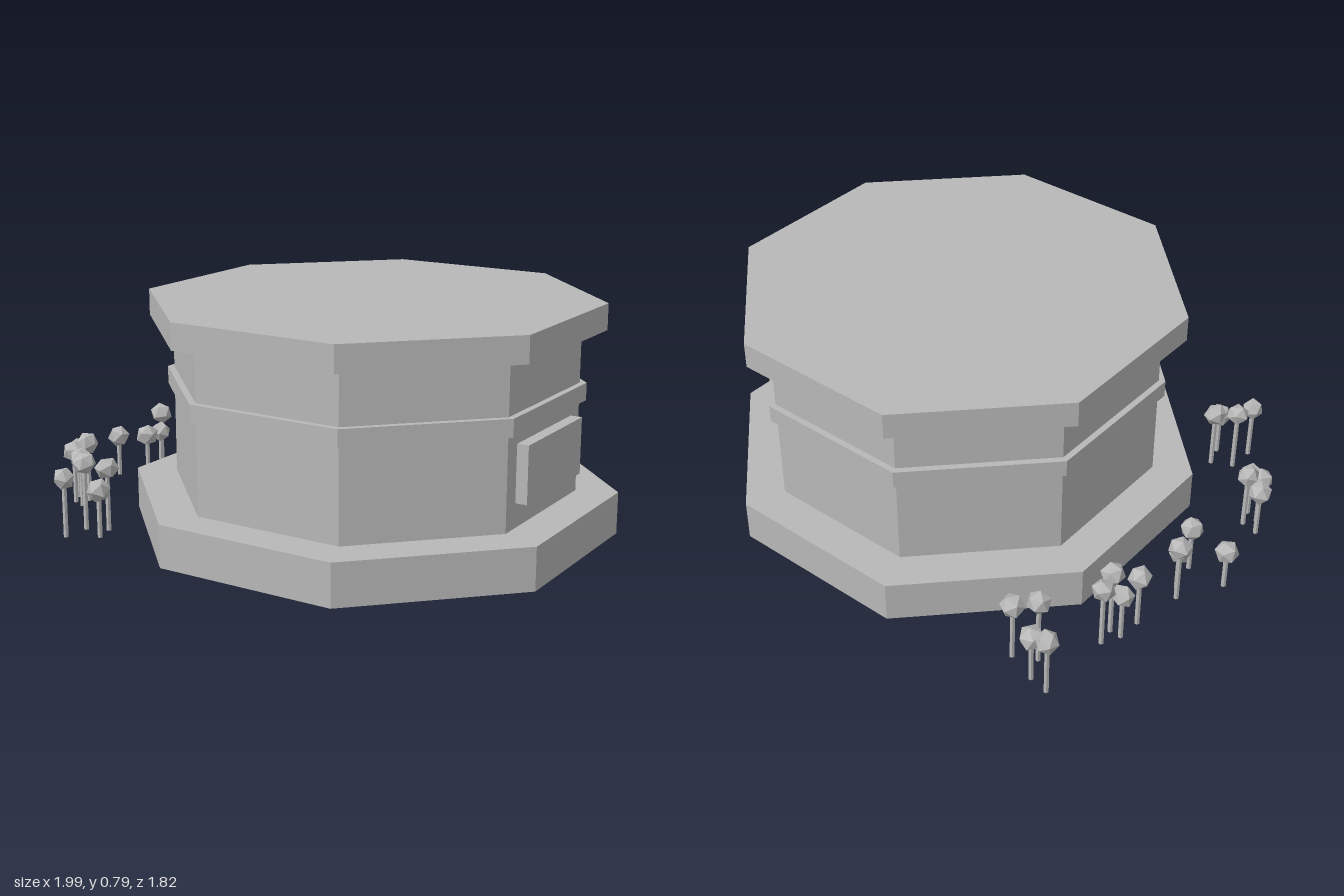
import * as THREE from 'three';

const grey = new THREE.MeshStandardMaterial({ color: 0xb8b8b8 });
grey.name = 'plain grey';

// Facet a geometry so every face is flat
function faceted(geometry) {
  const g = geometry.index ? geometry.toNonIndexed() : geometry;
  g.computeVertexNormals();
  return g;
}

function addMesh(parent, name, geometry) {
  const mesh = new THREE.Mesh(faceted(geometry), grey);
  mesh.name = name;
  parent.add(mesh);
  return mesh;
}

function seeded(seed) {
  return () => (seed = (seed * 16807) % 2147483647) / 2147483647;
}

// Tree clusters: [x, z, height of crown centre]
const clusters = [
  [[-0.955, -0.37, 0.215], [-0.885, -0.385, 0.18], [-0.773, -0.39, 0.22], [-0.826, -0.326, 0.25]],
  [[-0.858, -0.112, 0.23], [-0.826, -0.059, 0.25], [-0.864, -0.043, 0.18], [-0.837, 0.037, 0.20]],
  [[-0.80, 0.214, 0.22], [-0.762, 0.24, 0.16], [-0.698, 0.332, 0.175], [-0.826, 0.385, 0.15]],
  [[-0.66, 0.636, 0.18], [-0.60, 0.626, 0.215], [-0.612, 0.674, 0.19], [-0.56, 0.674, 0.175]],
  [[-0.265, 0.722, 0.22], [-0.318, 0.78, 0.235], [-0.217, 0.78, 0.165], [-0.286, 0.872, 0.205]],
];

export function createModel() {
  const model = new THREE.Group();
  model.name = 'octagonal building with trees';

  // Stacked octagonal slabs: name, radius, bottom, top
  const building = new THREE.Group();
  building.name = 'building';
  building.position.set(0.16, 0, -0.077);
  model.add(building);
  const slabs = [
    ['base', 0.838, 0, 0.145],
    ['walls', 0.695, 0.145, 0.70],
    ['band', 0.718, 0.46, 0.52],
    ['roof', 0.778, 0.70, 0.79],
  ];
  for (const [name, radius, bottom, top] of slabs) {
    const slab = addMesh(building, name, new THREE.CylinderGeometry(radius, radius, top - bottom, 8));
    slab.position.y = (bottom + top) / 2;
  }

  // Raised sign panel on the wall facing right and slightly back
  const angle = THREE.MathUtils.degToRad(112.5);
  const reach = 0.695 * Math.cos(Math.PI / 8) + 0.015;
  const panel = addMesh(building, 'wallPanel', new THREE.BoxGeometry(0.405, 0.193, 0.05));
  panel.position.set(Math.sin(angle) * reach, 0.324, Math.cos(angle) * reach);
  panel.rotation.y = angle;

  // Small trees: thin trunk and an irregular faceted crown
  const random = seeded(77);
  clusters.forEach((cluster, i) => {
    const group = new THREE.Group();
    group.name = 'treeCluster' + (i + 1);
    model.add(group);
    for (const [x, z, height] of cluster) {
      const tree = new THREE.Group();
      tree.name = 'tree';
      tree.position.set(x, 0, z);
      group.add(tree);
      const trunk = addMesh(tree, 'trunk', new THREE.CylinderGeometry(0.009, 0.009, height, 6));
      trunk.position.y = height / 2;
      const crown = addMesh(tree, 'crown', new THREE.IcosahedronGeometry(0.042, 0));
      crown.position.y = height;
      crown.rotation.set(random() * 6, random() * 6, random() * 6);
      crown.scale.set(0.9 + random() * 0.15, 0.9 + random() * 0.15, 0.9 + random() * 0.15);
    }
  });

  return model;
}
